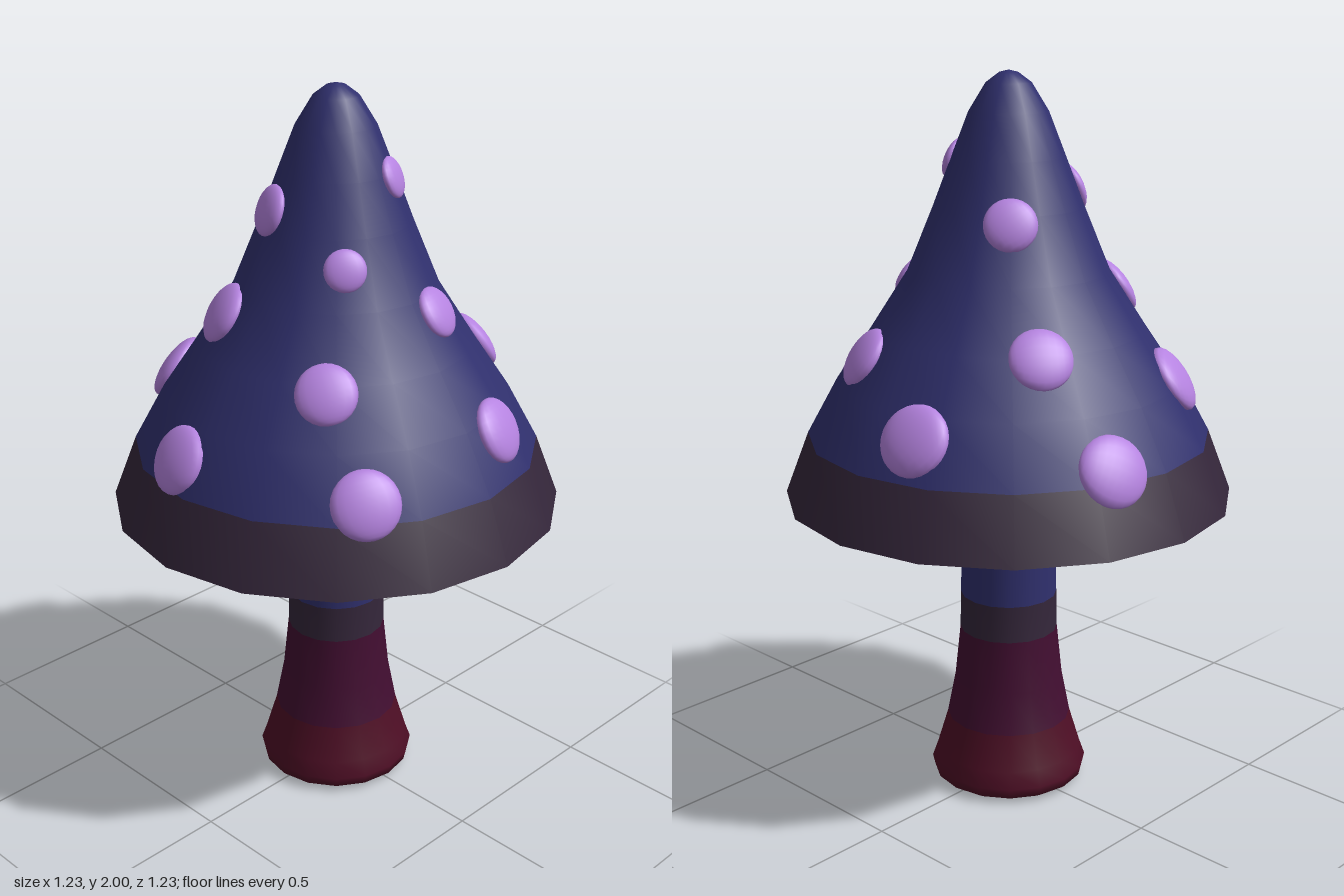
import * as THREE from 'three';

const mat = (name, color) => {
  const m = new THREE.MeshStandardMaterial({ color });
  m.name = name;
  return m;
};

// Smooth 16-sided lathe; each profile row is [radius, height, colour of the strip up to the next row]
function turned(name, rows, materials) {
  const sides = 16;
  const g = new THREE.LatheGeometry(rows.map(([r, y]) => new THREE.Vector2(r, y)), sides);
  const n = rows.length, index = [];
  for (let j = 0; j < n - 1; j++) {
    g.addGroup(index.length, sides * 6, rows[j][2]);
    for (let i = 0; i < sides; i++) {
      const a = i * n + j, b = a + n;
      index.push(a, b, a + 1, b + 1, a + 1, b);
    }
  }
  g.setIndex(index);
  const mesh = new THREE.Mesh(g, materials);
  mesh.name = name;
  return mesh;
}

export function createModel() {
  const model = new THREE.Group();
  model.name = 'mushroom';
  const spotLilac = mat('spotLilac', 0xb583e0);
  const materials = [
    mat('nightBlue', 0x30306e),
    mat('darkBand', 0x34263a),
    mat('plum', 0x420e31),
    mat('maroon', 0x4e0e25),
  ];
  const BLUE = 0, DARK = 1, PLUM = 2, MAROON = 3;

  // Stem, flaring at the top into the hollow underside of the cap
  model.add(turned('stemAndUnderside', [
    [0, 0, MAROON], [0.19, 0.003, MAROON], [0.215, 0.018, MAROON], [0.221, 0.045, MAROON],
    [0.205, 0.09, MAROON], [0.175, 0.19, PLUM], [0.152, 0.31, PLUM], [0.137, 0.455, DARK],
    [0.135, 0.56, BLUE], [0.131, 0.72, BLUE], [0.132, 0.86, DARK], [0.155, 0.95, BLUE],
    [0.2, 1.02, BLUE], [0.3, 1.08, BLUE], [0.42, 1.06, BLUE], [0.525, 0.98, DARK],
    [0.615, 0.86, DARK],
  ], materials));

  // Outer cap with a dark rim
  const capRows = [
    [0.615, 0.86, DARK], [0.55, 1.03, BLUE], [0.465, 1.185, BLUE], [0.37, 1.325, BLUE],
    [0.27, 1.48, BLUE], [0.2, 1.65, BLUE], [0.15, 1.78, BLUE], [0.105, 1.895, BLUE],
    [0.06, 1.968, BLUE], [0.025, 1.994, BLUE], [0, 2, BLUE],
  ];
  model.add(turned('cap', capRows, materials));

  // Raised spots: x and z give the direction around the cap, then height and radius
  const spots = [
    [0.06, 0.12, 1.77, 0.055], [-0.14, 0.17, 1.58, 0.055], [0.085, 0.27, 1.44, 0.07],
    [-0.27, 0.235, 1.31, 0.08], [0.13, 0.45, 1.15, 0.088], [-0.31, 0.41, 1.075, 0.09],
    [0.34, 0.175, 1.27, 0.085], [0.465, -0.125, 1.13, 0.095], [0.14, -0.14, 1.63, 0.07],
    [0.2, -0.3, 1.32, 0.083], [0.155, -0.51, 1.06, 0.095], [-0.155, -0.065, 1.69, 0.068],
    [-0.27, -0.15, 1.42, 0.085], [-0.495, -0.07, 1.1, 0.092], [-0.24, -0.375, 1.2, 0.095],
  ];
  const ball = new THREE.SphereGeometry(1, 20, 14);
  const group = new THREE.Group();
  group.name = 'spots';
  for (const [x, z, y, size] of spots) {
    const k = capRows.findIndex((row) => row[1] > y);
    const [r0, y0] = capRows[k - 1], [r1, y1] = capRows[k];
    const radius = (r0 + (r1 - r0) * (y - y0) / (y1 - y0)) * 0.985;
    const around = Math.atan2(x, z);
    const outward = new THREE.Vector3(
      Math.sin(around) * (y1 - y0), r0 - r1, Math.cos(around) * (y1 - y0)).normalize();
    const spot = new THREE.Mesh(ball, spotLilac);
    spot.name = 'spot';
    spot.position.set(Math.sin(around) * radius, y, Math.cos(around) * radius);
    spot.quaternion.setFromUnitVectors(new THREE.Vector3(0, 0, 1), outward);
    spot.scale.set(size, size, size * 0.38);
    group.add(spot);
  }
  model.add(group);
  return model;
}
